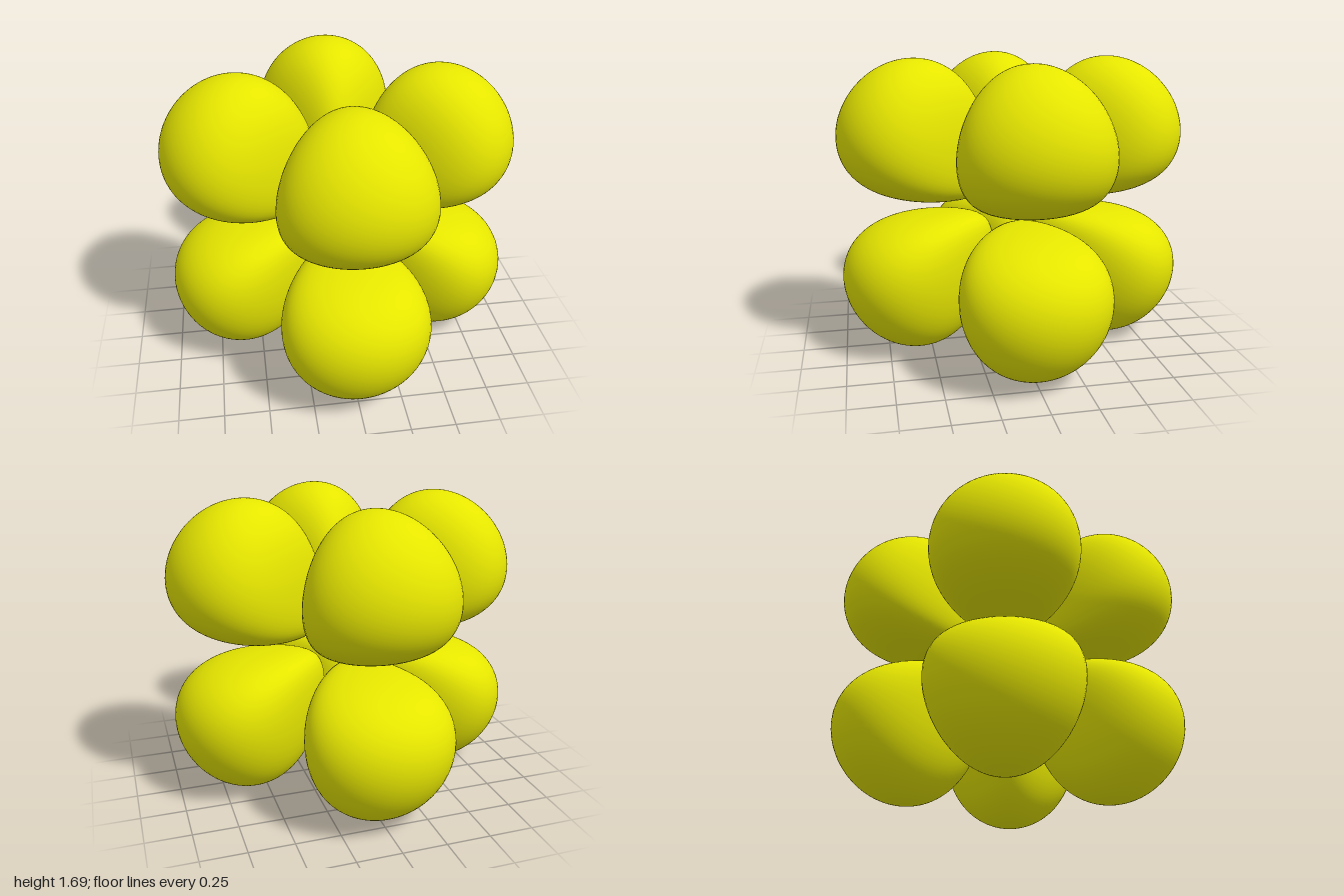
import * as THREE from 'three';

// Smooth eight-lobed level surface: y (x² - z²) r^Q e^(-K r) = const
const Q = 0.7, K = 7.16, LEVEL = -8.575, MID_Y = 0.847;

function logDensity(p) {
  const a = p.x * p.x - p.z * p.z;
  if (p.y <= 0 || p.x <= 0 || a <= 0) return -Infinity;
  const r = p.length();
  return Math.log(p.y * a) + Q * Math.log(r) - K * r;
}

// One lobe: push sphere vertices outwards from its middle until they meet the level
function lobeGeometry() {
  const centre = new THREE.Vector3(0.54, 0.4, 0);
  const geo = new THREE.SphereGeometry(1, 72, 56);
  const pos = geo.attributes.position, nor = geo.attributes.normal;
  const dir = new THREE.Vector3(), p = new THREE.Vector3(), n = new THREE.Vector3();
  for (let i = 0; i < pos.count; i++) {
    dir.fromBufferAttribute(pos, i).normalize();
    let lo = 0, hi = 1.2;
    for (let k = 0; k < 36; k++) {
      const t = (lo + hi) / 2;
      p.copy(centre).addScaledVector(dir, t);
      if (logDensity(p) > LEVEL) lo = t; else hi = t;
    }
    p.copy(centre).addScaledVector(dir, lo);
    pos.setXYZ(i, p.x, p.y, p.z);
    // Exact normal: downhill gradient of the log density
    const a = p.x * p.x - p.z * p.z, r = p.length(), g = Q / (r * r) - K / r;
    n.set(2 * p.x / a + g * p.x, 1 / p.y + g * p.y, -2 * p.z / a + g * p.z).negate().normalize();
    nor.setXYZ(i, n.x, n.y, n.z);
  }
  return geo;
}

export function createModel() {
  const model = new THREE.Group();
  model.name = 'eightLobes';
  const material = new THREE.MeshStandardMaterial({ color: 0xe6e600 });
  const geometry = lobeGeometry();
  const sides = ['left', 'back', 'right', 'front'];

  // Two rings of four lobes; the lower ring is the upper one turned over
  for (const level of ['upper', 'lower']) {
    const ring = new THREE.Group();
    ring.name = level + 'Ring';
    ring.position.y = MID_Y;
    sides.forEach((side, i) => {
      const lobe = new THREE.Mesh(geometry, material);
      lobe.name = level + 'Lobe_' + side;
      lobe.rotation.set(level === 'lower' ? Math.PI : 0, i * Math.PI / 2, 0, 'YXZ');
      ring.add(lobe);
    });
    model.add(ring);
  }
  return model;
}
